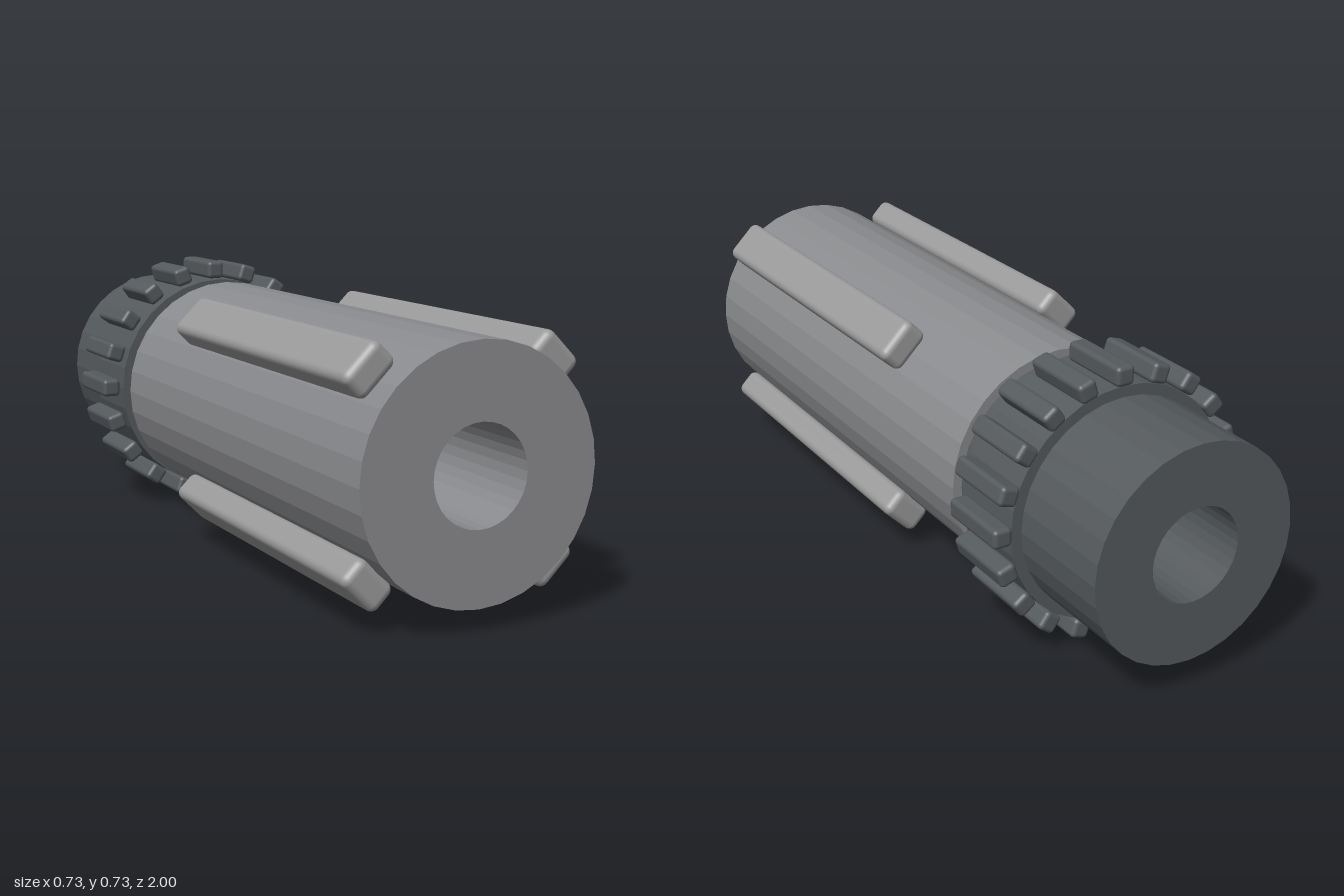
import * as THREE from 'three';
import { RoundedBoxGeometry } from 'three/addons/geometries/RoundedBoxGeometry.js';

const AXIS_Y = 0.366;
const BORE = 0.124;

const material = (name, color) => {
  const m = new THREE.MeshStandardMaterial({ color });
  m.name = name;
  return m;
};

// Faceted hollow cylinder along z, from z0 (back) to z1 (front)
function sleeve(name, radius, z0, z1, mat) {
  const profile = [
    [BORE, z0], [radius, z0], [radius, z1], [BORE, z1], [BORE, z0],
  ].map(([r, z]) => new THREE.Vector2(r, z));
  const geometry = new THREE.LatheGeometry(profile, 32).toNonIndexed();
  geometry.computeVertexNormals();
  geometry.rotateX(Math.PI / 2);
  const mesh = new THREE.Mesh(geometry, mat);
  mesh.name = name;
  return mesh;
}

// Rounded bars spaced evenly around the z axis
function barRing(name, { count, start, radius, width, depth, z0, z1, round }, mat) {
  const group = new THREE.Group();
  group.name = name + 's';
  const geometry = new RoundedBoxGeometry(width, depth, z1 - z0, 3, round);
  for (let i = 0; i < count; i++) {
    const a = start + (i / count) * Math.PI * 2;
    const bar = new THREE.Mesh(geometry, mat);
    bar.name = name;
    bar.position.set(-Math.sin(a) * radius, Math.cos(a) * radius, (z0 + z1) / 2);
    bar.rotation.z = a;
    group.add(bar);
  }
  return group;
}

export function createModel() {
  const grey = material('barrel grey', 0x8a8b8e);
  const light = material('key light grey', 0x9a9a9b);
  const dark = material('dark steel', 0x555a5d);

  const model = new THREE.Group();
  model.name = 'splinedShaft';
  const body = new THREE.Group();
  body.name = 'shaftBody';
  body.position.y = AXIS_Y;
  model.add(body);

  // Front barrel, narrower rear shaft, and the collar that carries the teeth
  body.add(sleeve('barrel', 0.31, -0.425, 1, grey));
  body.add(sleeve('rearShaft', 0.285, -1, -0.425, dark));
  body.add(sleeve('collar', 0.314, -0.7, -0.475, dark));

  // Grip teeth around the collar
  body.add(barRing('collarTooth', {
    count: 20, start: 0, radius: 0.34, width: 0.051, depth: 0.052,
    z0: -0.71, z1: -0.5, round: 0.012,
  }, dark));

  // Four long keys along the barrel
  body.add(barRing('barrelKey', {
    count: 4, start: Math.PI / 4, radius: 0.346, width: 0.124, depth: 0.08,
    z0: -0.07, z1: 0.93, round: 0.021,
  }, light));

  return model;
}
